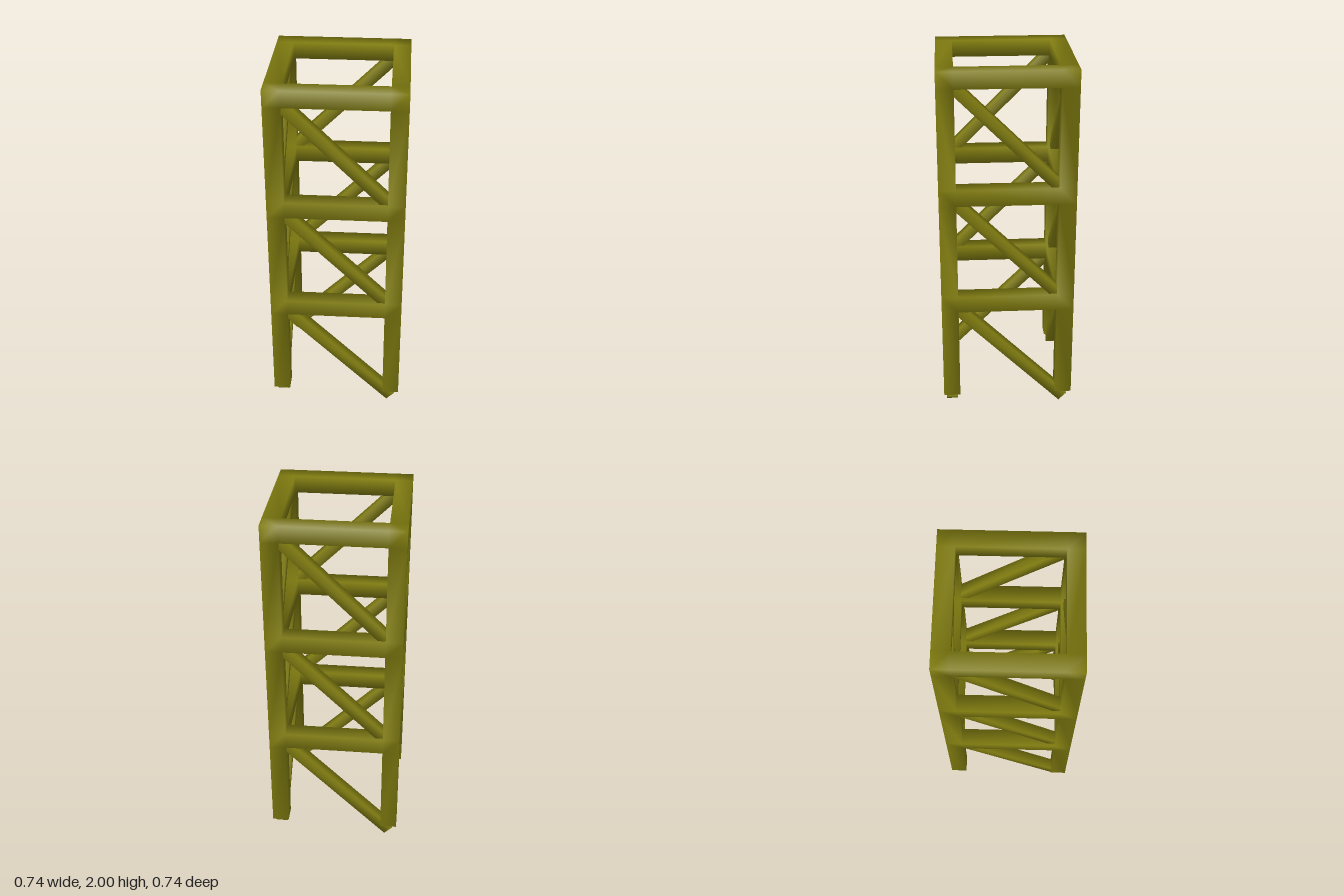
import * as THREE from 'three';
import { mergeVertices } from 'three/addons/utils/BufferGeometryUtils.js';

const material = new THREE.MeshStandardMaterial({ color: 0x807c10 });

// Weld corners so normals blend softly around each bar
function soften(geometry) {
  geometry.deleteAttribute('normal');
  geometry.deleteAttribute('uv');
  const welded = mergeVertices(geometry, 1e-4);
  welded.computeVertexNormals();
  return welded;
}

// Legs and three rings of rails, joined as one skin on a grid of cells
function frameGeometry() {
  const xs = [-0.37, -0.276, 0.276, 0.37];
  const ys = [0.068, 0.617, 0.711, 1.261, 1.355, 1.906, 2];
  const grid = [xs, ys, xs];
  const solid = ([i, j, k]) => {
    if (i < 0 || i > 2 || j < 0 || j > 5 || k < 0 || k > 2) return false;
    const leg = i !== 1 && k !== 1;
    const rail = j % 2 === 1 && (i !== 1 || k !== 1);
    return leg || rail;
  };
  const points = [];
  const addFace = (cell, a, side) => {
    const b = (a + 1) % 3, c = (a + 2) % 3;
    const corners = [[0, 0], [1, 0], [1, 1], [0, 1]].map(([u, v]) => {
      const p = [0, 0, 0];
      p[a] = grid[a][cell[a] + side];
      p[b] = grid[b][cell[b] + u];
      p[c] = grid[c][cell[c] + v];
      return p;
    });
    if (side === 0) corners.reverse();
    for (const n of [0, 1, 2, 0, 2, 3]) points.push(...corners[n]);
  };
  for (let i = 0; i < 3; i++) for (let j = 0; j < 6; j++) for (let k = 0; k < 3; k++) {
    const cell = [i, j, k];
    if (!solid(cell)) continue;
    for (let a = 0; a < 3; a++) for (const side of [0, 1]) {
      const next = [...cell];
      next[a] += side ? 1 : -1;
      if (!solid(next)) addFace(cell, a, side);
    }
  }
  const geometry = new THREE.BufferGeometry();
  geometry.setAttribute('position', new THREE.Float32BufferAttribute(points, 3));
  return soften(geometry);
}

export function createModel() {
  const model = new THREE.Group();
  model.name = 'latticeTower';

  const frame = new THREE.Mesh(frameGeometry(), material);
  frame.name = 'legsAndRails';
  model.add(frame);

  // One falling diagonal per bay on each of the four sides
  const reach = 0.323, bay = 0.644, lowest = 0.022, width = 0.063;
  const braceGeometry = soften(new THREE.BoxGeometry(Math.hypot(2 * reach, bay), width, width));
  for (let s = 0; s < 4; s++) {
    const side = new THREE.Group();
    side.name = 'sideBraces' + (s + 1);
    side.rotation.y = s * Math.PI / 2;
    for (let n = 0; n < 3; n++) {
      const brace = new THREE.Mesh(braceGeometry, material);
      brace.name = 'diagonalBrace' + (n + 1);
      brace.position.set(0, lowest + (n + 0.5) * bay, reach);
      brace.rotation.z = -Math.atan2(bay, 2 * reach);
      side.add(brace);
    }
    model.add(side);
  }
  return model;
}
